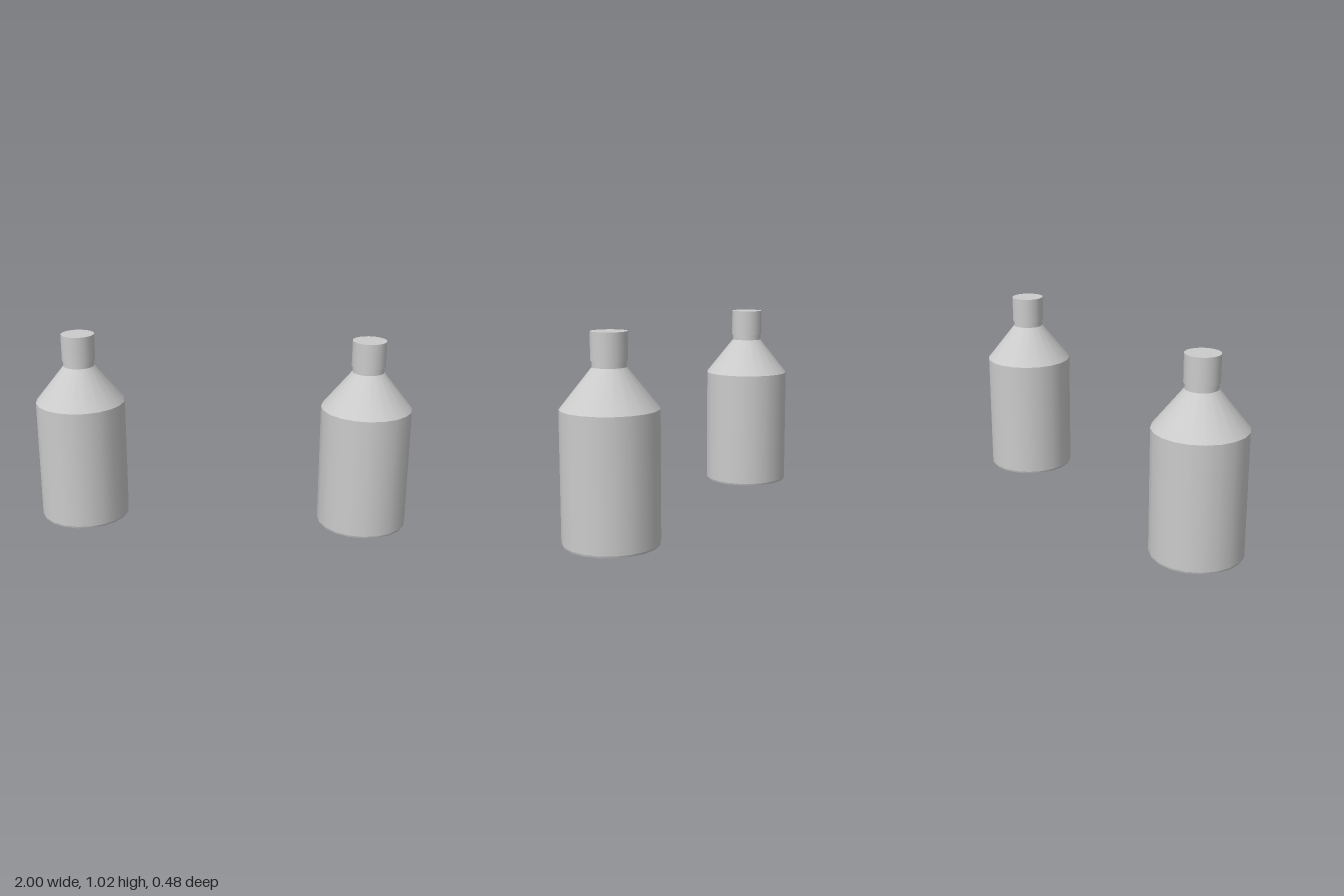
import * as THREE from 'three';

const SIDES = 20;
const material = new THREE.MeshStandardMaterial({ color: 0xcccccc });

// One round section between two heights, smooth around and sharp at its rims
function section(name, y0, y1, r0, r1, open = true) {
  const geometry = new THREE.CylinderGeometry(r1, r0, y1 - y0, SIDES, 1, open);
  geometry.translate(0, (y0 + y1) / 2, 0);
  const mesh = new THREE.Mesh(geometry, material);
  mesh.name = name;
  return mesh;
}

function createBottle(name, x, capTop) {
  const bottle = new THREE.Group();
  bottle.name = name;

  // Flat underside
  const base = new THREE.Mesh(new THREE.CircleGeometry(0.235, SIDES), material);
  base.rotation.x = Math.PI / 2;
  base.name = 'base';

  bottle.add(
    base,
    section('baseRim', 0, 0.01, 0.235, 0.238),
    section('body', 0.01, 0.65, 0.238, 0.238),
    section('shoulder', 0.65, 0.845, 0.238, 0.082),
    section('neck', 0.845, 0.875, 0.082, 0.082),
    // Closed screw cap, a little wider than the neck
    section('cap', 0.875, capTop, 0.088, 0.088, false),
  );
  bottle.position.x = x;
  return bottle;
}

export function createModel() {
  const model = new THREE.Group();
  model.name = 'bottlePair';
  model.add(
    createBottle('rightBottle', -0.762, 1.016),
    createBottle('leftBottle', 0.762, 1.011),
  );
  return model;
}
